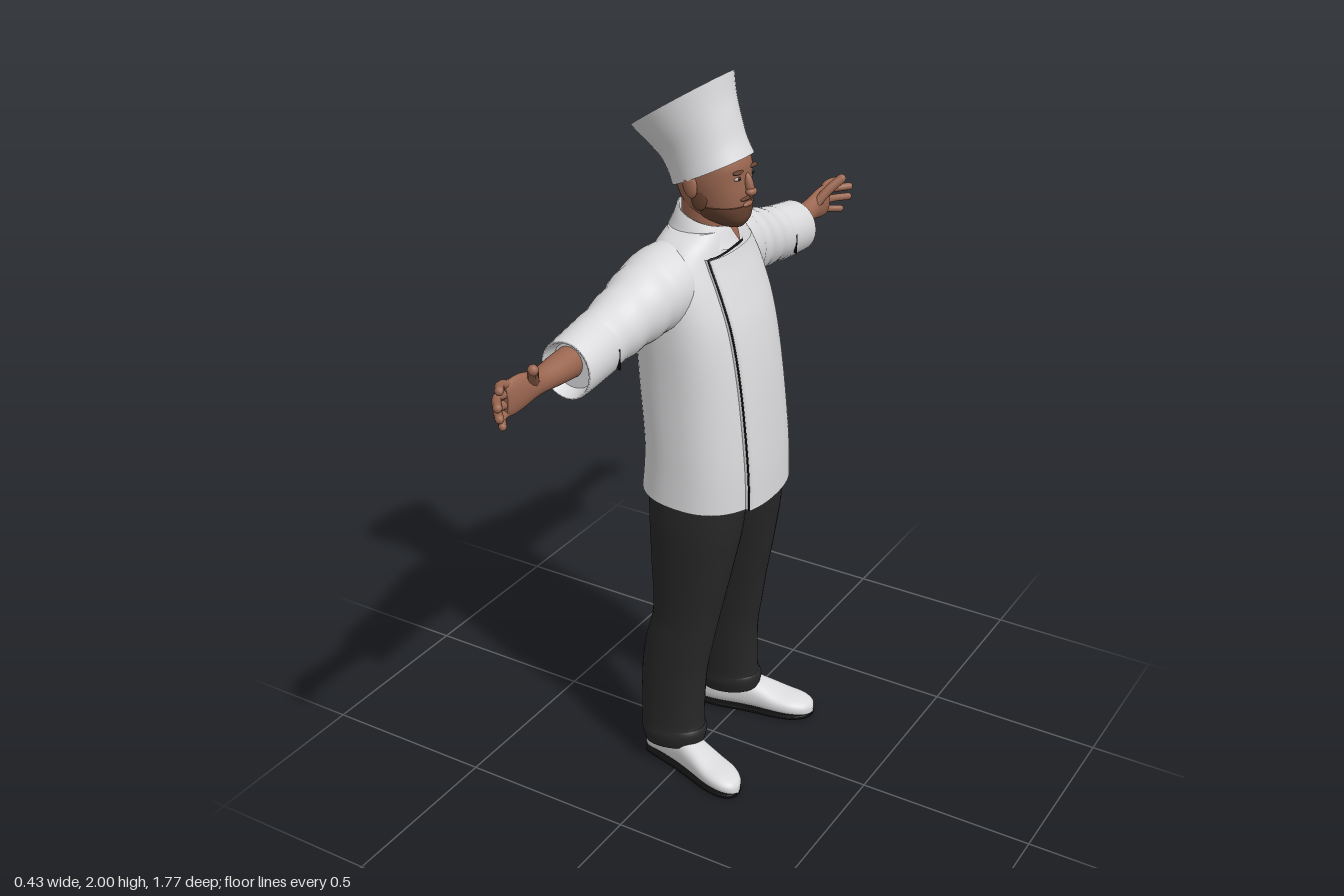
import * as THREE from 'three';

const mat = (name, color) => new THREE.MeshStandardMaterial({ name, color, side: THREE.DoubleSide });
const V = (x, y, z) => new THREE.Vector3(x, y, z);

// Smoothly resample a table of cross-section rows
function resample(rows, count) {
  const last = rows.length - 1, out = [];
  for (let i = 0; i <= count; i++) {
    const t = (i / count) * last, k = Math.min(Math.floor(t), last - 1), f = t - k;
    const p = [k - 1, k, k + 1, k + 2].map(j => rows[Math.max(0, Math.min(last, j))]);
    out.push(rows[0].map((_, c) => {
      const [a, b, d, e] = p.map(r => r[c]);
      return b + 0.5 * f * (d - a + f * (2 * a - 5 * b + 4 * d - e + f * (3 * (b - d) + e - a)));
    }));
  }
  return out;
}

// Skin superellipse rings { c, u, v } with flat end caps, faces turned outward
function loft(rings, { sides = 32, n = 2, caps = true } = {}) {
  const pos = [], idx = [];
  const sp = w => Math.sign(w) * Math.pow(Math.abs(w), 2 / n);
  const addRing = r => {
    for (let i = 0; i < sides; i++) {
      const a = (i / sides) * Math.PI * 2;
      const p = r.c.clone().addScaledVector(r.u, sp(Math.cos(a))).addScaledVector(r.v, sp(Math.sin(a)));
      pos.push(p.x, p.y, p.z);
    }
  };
  rings.forEach(addRing);
  for (let j = 0; j < rings.length - 1; j++) for (let i = 0; i < sides; i++) {
    const a = j * sides + i, b = j * sides + (i + 1) % sides;
    idx.push(a, b, a + sides, b, b + sides, a + sides);
  }
  if (caps) [rings[0], rings[rings.length - 1]].forEach((r, end) => {
    const o = pos.length / 3;
    addRing(r);
    pos.push(r.c.x, r.c.y, r.c.z);
    for (let i = 0; i < sides; i++) {
      const a = o + i, b = o + (i + 1) % sides;
      end ? idx.push(a, b, o + sides) : idx.push(b, a, o + sides);
    }
  });
  const d = rings[rings.length - 1].c.clone().sub(rings[0].c);
  if (rings[0].u.clone().cross(rings[0].v).dot(d) < 0) idx.reverse();
  const g = new THREE.BufferGeometry();
  g.setAttribute('position', new THREE.Float32BufferAttribute(pos, 3));
  g.setIndex(idx);
  g.computeVertexNormals();
  return g;
}

// Row readers for lofts running along y or z
const upright = ([y, x0, x1, z0, z1, tilt = 0]) => ({
  c: V((x0 + x1) / 2, y, (z0 + z1) / 2), u: V((x1 - x0) / 2, tilt, 0), v: V(0, 0, (z1 - z0) / 2) });
const sideways = s => ([z, cx, cy, rx, ry]) => ({ c: V(cx, cy, s * z), u: V(rx, 0, 0), v: V(0, ry, 0) });

export function createModel() {
  const model = new THREE.Group();
  const white = mat('white cloth', 0xdadadc), black = mat('black trousers', 0x272727);
  const skin = mat('skin', 0x9a6650), beardMat = mat('stubble', 0x65412f);
  const dark = mat('dark seam', 0x0e0e0e), eyeMat = mat('eye white', 0xb9a89c);
  const add = (name, geo, m, parent = model) => {
    const mesh = new THREE.Mesh(geo, m);
    mesh.name = name;
    parent.add(mesh);
    return mesh;
  };
  const blob = (name, m, p, s, rotZ = 0) => {
    const mesh = add(name, new THREE.SphereGeometry(1, 20, 14), m);
    mesh.position.set(...p);
    mesh.scale.set(...s);
    mesh.rotation.z = rotZ;
  };

  // Jacket body
  const body = resample([
    [0.87, -0.165, 0.185, -0.226, 0.226, -0.01], [1.0, -0.157, 0.18, -0.22, 0.22, -0.005],
    [1.2, -0.175, 0.16, -0.212, 0.212, 0], [1.35, -0.18, 0.132, -0.212, 0.212, 0],
    [1.45, -0.17, 0.098, -0.208, 0.208, 0], [1.52, -0.15, 0.07, -0.19, 0.19, 0],
    [1.57, -0.125, 0.055, -0.15, 0.15, 0], [1.6, -0.11, 0.045, -0.1, 0.1, 0]], 42);
  const N = 2.4;
  add('jacketBody', loft(body.map(upright), { sides: 56, n: N }), white);

  // Overlapping front panel following the chest, with a dark seam along its edge
  const front = ([y, x0, x1, , rz, tilt], z, off) => {
    const k = Math.pow(Math.max(0, 1 - Math.pow(Math.abs(z) / rz, N)), 1 / N);
    return V((x0 + x1) / 2 + (x1 - x0) / 2 * k + off, y + tilt * k, z);
  };
  const rows = body.filter(r => r[0] < 1.555), cols = 24, edge = 0.115;
  const pPos = [], pIdx = [];
  rows.forEach((r, j) => {
    const zEnd = -Math.min(0.19, 0.9 * r[4]);
    for (let i = -1; i <= cols; i++) {
      const k = Math.max(0, i) / cols;
      const p = front(r, edge + (zEnd - edge) * k, i < 0 ? 0 : 0.014 * (1 - k * k));
      pPos.push(p.x, p.y, p.z);
      if (j && i >= 0) {
        const b = j * (cols + 2) + i + 1, a = b - cols - 2;
        pIdx.push(a - 1, b, a, a - 1, b - 1, b);
      }
    }
  });
  const panel = new THREE.BufferGeometry();
  panel.setAttribute('position', new THREE.Float32BufferAttribute(pPos, 3));
  // Columns run toward -z, so reverse to face forward
  panel.setIndex(pIdx.reverse());
  panel.computeVertexNormals();
  add('frontPanel', panel, white);
  const seam = rows.map(r => front(r, edge, 0.011));
  const topRow = rows[rows.length - 1];
  for (let z = 0.09; z > -0.03; z -= 0.028) {
    const p = front(topRow, z, 0.013);
    p.y += (edge - z) * 0.12;
    seam.push(p);
  }
  add('panelSeam', new THREE.TubeGeometry(new THREE.CatmullRomCurve3(seam), 90, 0.003, 6), dark);

  // Collar, turned inward at its rim, and open throat
  const collar = [[-0.025, 1.572, 0.098, -0.018, 0.105], [-0.024, 1.605, 0.082, -0.022, 0.086],
    [-0.022, 1.634, 0.074, -0.024, 0.077], [-0.022, 1.632, 0.067, -0.024, 0.07], [-0.022, 1.6, 0.064, -0.02, 0.066]];
  add('collar', loft(collar.map(([x, y, rx, t, rz]) => ({ c: V(x, y, 0), u: V(rx, t, 0), v: V(0, 0, rz) })), { caps: false }), white);
  const throat = new THREE.BufferGeometry().setFromPoints([V(0.056, 1.612, 0.014), V(0.075, 1.558, -0.014), V(0.055, 1.612, -0.026)]);
  throat.computeVertexNormals();
  add('openThroat', throat, skin);

  // Neck and head
  add('neck', loft(resample([[1.55, -0.085, 0.04, -0.06, 0.06], [1.62, -0.085, 0.045, -0.06, 0.06],
    [1.7, -0.085, 0.05, -0.06, 0.06]], 8).map(upright)), skin);
  add('head', loft(resample([
    [1.615, 0.03, 0.085, -0.022, 0.022], [1.632, -0.035, 0.098, -0.05, 0.05], [1.66, -0.07, 0.101, -0.07, 0.07],
    [1.7, -0.092, 0.103, -0.082, 0.082], [1.74, -0.1, 0.1, -0.09, 0.09], [1.78, -0.1, 0.098, -0.09, 0.09],
    [1.82, -0.085, 0.075, -0.08, 0.08], [1.85, -0.06, 0.03, -0.04, 0.04]], 28).map(upright), { n: 2.2 }), skin);
  add('beard', loft(resample([
    [1.612, 0.025, 0.088, -0.026, 0.026], [1.632, -0.03, 0.102, -0.054, 0.054], [1.655, -0.045, 0.105, -0.071, 0.071],
    [1.672, -0.05, 0.105, -0.077, 0.077]], 12).map(upright), { n: 2.2 }), beardMat);
  blob('nose', skin, [0.106, 1.724, 0], [0.012, 0.033, 0.012], 0.25);
  blob('noseTip', skin, [0.112, 1.708, 0], [0.014, 0.011, 0.018]);
  blob('moustache', beardMat, [0.1, 1.69, 0], [0.008, 0.006, 0.032]);
  blob('lips', skin, [0.103, 1.674, 0], [0.007, 0.007, 0.022]);
  for (const s of [1, -1]) {
    blob('ear', skin, [-0.012, 1.73, s * 0.094], [0.02, 0.034, 0.011], 0.2);
    blob('sideburn', beardMat, [0.005, 1.695, s * 0.078], [0.024, 0.035, 0.008]);
    blob('eye', eyeMat, [0.09, 1.747, s * 0.034], [0.008, 0.006, 0.013]);
    blob('pupil', dark, [0.096, 1.747, s * 0.034], [0.004, 0.005, 0.005]);
    blob('eyebrow', beardMat, [0.094, 1.764, s * 0.036], [0.009, 0.005, 0.022]);
  }

  // Tall flared hat leaning back
  const hat = resample([[0, 1.75, 0.104, 0.05, 0.105], [-0.017, 1.787, 0.1, 0.052, 0.104], [-0.037, 1.83, 0.102, 0.06, 0.11],
    [-0.065, 1.875, 0.112, 0.07, 0.127], [-0.09, 1.92, 0.126, 0.08, 0.146]], 16);
  add('hat', loft(hat.map(([x, y, ux, uy, rz]) => ({ c: V(x, y, 0), u: V(ux, uy, 0), v: V(0, 0, rz) })), { sides: 48 }), white);

  for (const s of [1, -1]) {
    const arm = new THREE.Group();
    arm.name = s > 0 ? 'armLeft' : 'armRight';
    model.add(arm);

    // Sleeve with soft folds, then the turned-back cuff
    const sleeve = resample([[0.06, -0.05, 1.48, 0.085, 0.105], [0.15, -0.06, 1.473, 0.105, 0.107], [0.22, -0.064, 1.462, 0.1, 0.103],
      [0.3, -0.066, 1.447, 0.088, 0.093], [0.38, -0.07, 1.428, 0.08, 0.083], [0.47, -0.073, 1.41, 0.074, 0.077]], 40)
      .map(([z, x, y, a, b]) => {
        const w = z > 0.22 ? 1 + 0.022 * Math.sin(z * 75) : 1;
        return [z, x, y, a * w, b * w];
      });
    add('sleeve', loft(sleeve.map(sideways(s))), white, arm);
    const cuff = [[0.445, -0.073, 1.412, 0.075, 0.077], [0.45, -0.073, 1.411, 0.079, 0.081], [0.52, -0.072, 1.402, 0.076, 0.079],
      [0.572, -0.07, 1.397, 0.073, 0.077], [0.574, -0.07, 1.397, 0.067, 0.071], [0.54, -0.07, 1.398, 0.06, 0.06]];
    add('cuff', loft(cuff.map(sideways(s))), white, arm);
    add('cuffSeam', new THREE.BoxGeometry(0.008, 0.055, 0.004), dark, arm).position.set(0.002, 1.395, s * 0.452);

    // Forearm and palm
    add('forearmAndPalm', loft(resample([[0.53, -0.084, 1.403, 0.04, 0.042], [0.6, -0.083, 1.404, 0.037, 0.036], [0.66, -0.081, 1.405, 0.029, 0.031],
      [0.7, -0.078, 1.41, 0.024, 0.035], [0.745, -0.078, 1.412, 0.02, 0.045], [0.785, -0.08, 1.41, 0.016, 0.046],
      [0.802, -0.08, 1.41, 0.008, 0.036]], 30).map(sideways(s))), skin, arm);

    // Fingers curling forward, thumb raised
    const digits = [
      ['thumb', 0.014, [-0.072, 1.415, 0.7], [-0.045, 1.46, 0.738], [-0.02, 1.489, 0.77]],
      ['indexFinger', 0.0115, [-0.08, 1.44, 0.77], [-0.084, 1.452, 0.81], [-0.062, 1.457, 0.845]],
      ['middleFinger', 0.0115, [-0.08, 1.42, 0.77], [-0.083, 1.428, 0.825], [-0.046, 1.43, 0.875]],
      ['ringFinger', 0.011, [-0.08, 1.398, 0.77], [-0.083, 1.399, 0.825], [-0.046, 1.4, 0.87]],
      ['littleFinger', 0.01, [-0.08, 1.378, 0.77], [-0.083, 1.372, 0.81], [-0.058, 1.367, 0.845]]];
    for (const [name, r, ...pts] of digits) {
      const p = pts.map(([x, y, z]) => V(x, y, s * z));
      add(name, new THREE.TubeGeometry(new THREE.CatmullRomCurve3(p), 12, r, 10), skin, arm);
      add(name + 'Tip', new THREE.SphereGeometry(r, 10, 8), skin, arm).position.copy(p[2]);
    }

    // Trouser leg
    const leg = resample([[0.95, -0.13, 0.15, -0.01, 0.2], [0.8, -0.122, 0.146, -0.002, 0.214], [0.65, -0.113, 0.122, 0.03, 0.21],
      [0.5, -0.105, 0.092, 0.058, 0.205], [0.4, -0.125, 0.074, 0.07, 0.211], [0.3, -0.137, 0.058, 0.08, 0.214],
      [0.15, -0.135, 0.055, 0.09, 0.222], [0.11, -0.132, 0.064, 0.088, 0.23], [0.075, -0.122, 0.058, 0.095, 0.225]], 40);
    add('trouserLeg', loft(leg.map(([y, a, b, c, d]) => upright([y, a, b, s * c, s * d, y < 0.13 ? 0.012 : 0])), { n: 2.2 }), black);

    // Shoe with toe turned out, on a thin dark sole
    const shoe = resample([[-0.126, 0.145, 0.015, 0.05], [-0.115, 0.147, 0.036, 0.085], [-0.06, 0.155, 0.044, 0.11], [0, 0.17, 0.045, 0.112],
      [0.06, 0.186, 0.049, 0.094], [0.12, 0.201, 0.054, 0.07], [0.17, 0.212, 0.05, 0.058], [0.203, 0.219, 0.032, 0.045],
      [0.214, 0.222, 0.008, 0.03]], 32);
    const shoeRings = (low, high, grow) => shoe.map(([x, z, rz, top]) => {
      const h = high ?? top;
      return { c: V(x, (low + h) / 2, s * z), u: V(0, (h - low) / 2, 0), v: V(0, 0, rz * grow) };
    });
    add('shoe', loft(shoeRings(0.008, null, 1), { n: 2.5 }), white);
    add('sole', loft(shoeRings(0, 0.014, 1.02), { n: 5 }), dark);
  }
  return model;
}
